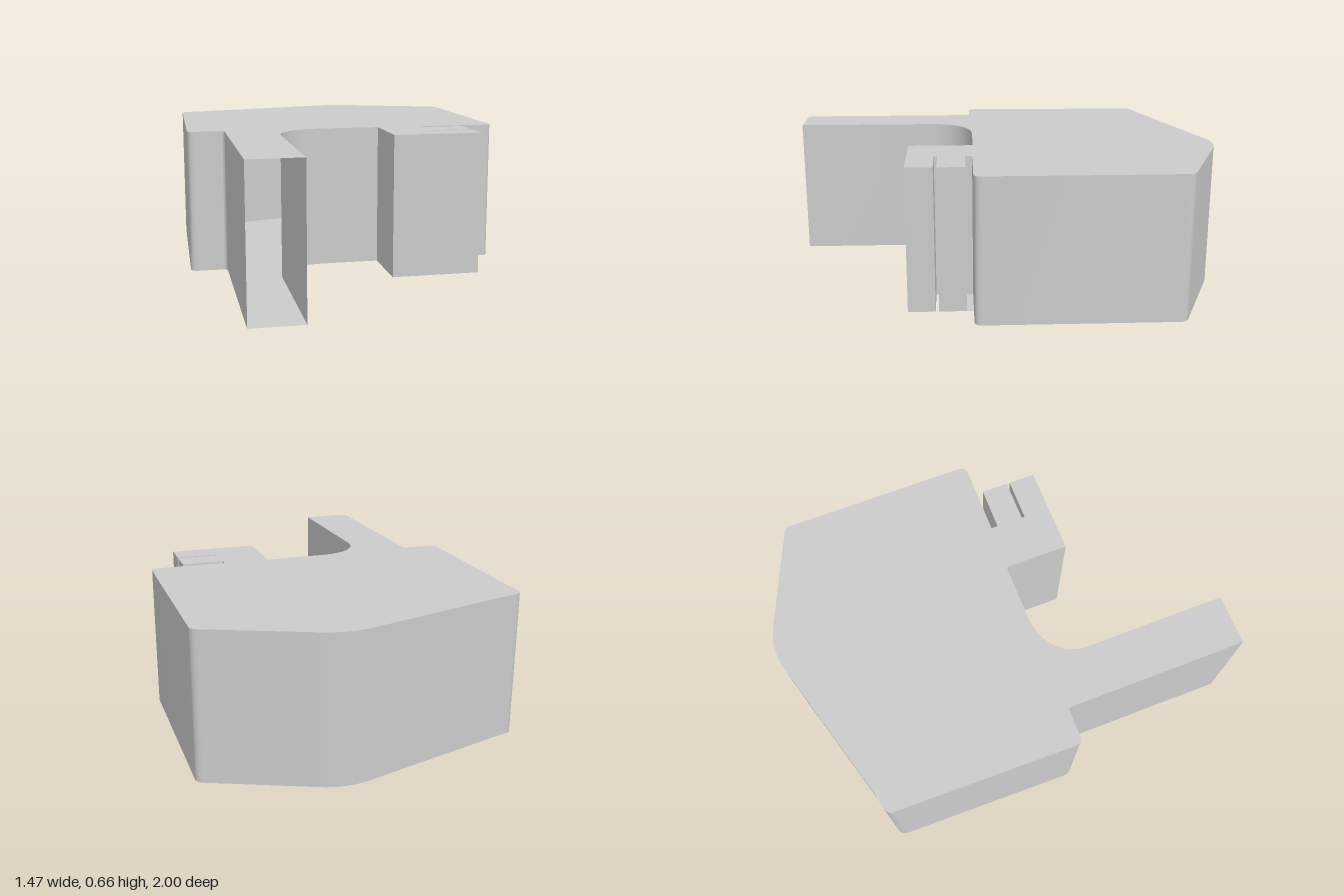
import * as THREE from 'three';
import { toCreasedNormals } from 'three/addons/utils/BufferGeometryUtils.js';

const HEIGHT = 0.66;

// Plan outline in (x, z), from one corner of the open arm end round to the other
function outline(withRearSlot) {
  const s = new THREE.Shape();
  const line = (...pts) => pts.forEach(([x, z]) => s.lineTo(x, z));
  s.moveTo(-0.333, 1);
  // inner side of the arm, sweeping into the body
  line([-0.333, 0.32]);
  s.bezierCurveTo(-0.325, 0.22, -0.25, 0.13, -0.1, 0.13);
  // front block with its narrow through slot
  line([0.165, 0.13], [0.165, 0.43], [0.578, 0.43], [0.578, 0.307],
    [0.38, 0.307], [0.38, 0.292], [0.578, 0.292]);
  // wider slot between block and body
  if (withRearSlot) line([0.578, 0.168], [0.38, 0.168], [0.38, 0.137]);
  else line([0.578, 0.137]);
  // rounded body with a peaked back
  line([0.7, 0.137]);
  s.quadraticCurveTo(0.737, 0.137, 0.737, 0.1);
  line([0.737, -0.755]);
  s.quadraticCurveTo(0.737, -0.78, 0.71, -0.792);
  line([0.29, -0.969]);
  s.bezierCurveTo(0.2, -1.01, 0.12, -1.01, 0.02, -0.975);
  line([-0.62, -0.787], [-0.685, -0.772]);
  s.quadraticCurveTo(-0.724, -0.765, -0.724, -0.73);
  line([-0.738, 0.1]);
  s.quadraticCurveTo(-0.738, 0.137, -0.7, 0.137);
  // outer side of the arm
  line([-0.59, 0.137]);
  s.quadraticCurveTo(-0.568, 0.137, -0.568, 0.16);
  line([-0.568, 1]);
  return s;
}

// Vertical walls along the outline, left open at the arm end
function wallGeometry(shape) {
  const p = shape.getPoints(12);
  const pos = [];
  for (let i = 0; i < p.length - 1; i++) {
    const a = p[i], b = p[i + 1];
    pos.push(a.x, 0, a.y, b.x, 0, b.y, b.x, HEIGHT, b.y);
    pos.push(a.x, 0, a.y, b.x, HEIGHT, b.y, a.x, HEIGHT, a.y);
  }
  const g = new THREE.BufferGeometry();
  g.setAttribute('position', new THREE.Float32BufferAttribute(pos, 3));
  return toCreasedNormals(g, 0.5);
}

// Flat sheet at a given height, facing up or down
function sheetGeometry(shape, y, up) {
  const g = new THREE.ShapeGeometry(shape, 12).rotateX(Math.PI / 2).translate(0, y, 0);
  const facesUp = g.attributes.normal.getY(0) > 0;
  if (facesUp !== up) {
    g.setIndex(Array.from(g.index.array).reverse());
    g.computeVertexNormals();
  }
  return g;
}

export function createModel() {
  const group = new THREE.Group();
  group.name = 'housing';
  const material = new THREE.MeshStandardMaterial({ color: 0xcccccc, side: THREE.DoubleSide });
  const add = (name, geometry) => {
    const mesh = new THREE.Mesh(geometry, material);
    mesh.name = name;
    group.add(mesh);
  };
  const slotted = outline(true);
  add('walls', wallGeometry(slotted));
  add('roof', sheetGeometry(slotted, HEIGHT, true));
  // the floor runs on beneath the wider slot
  add('floor', sheetGeometry(outline(false), 0, false));
  return group;
}
